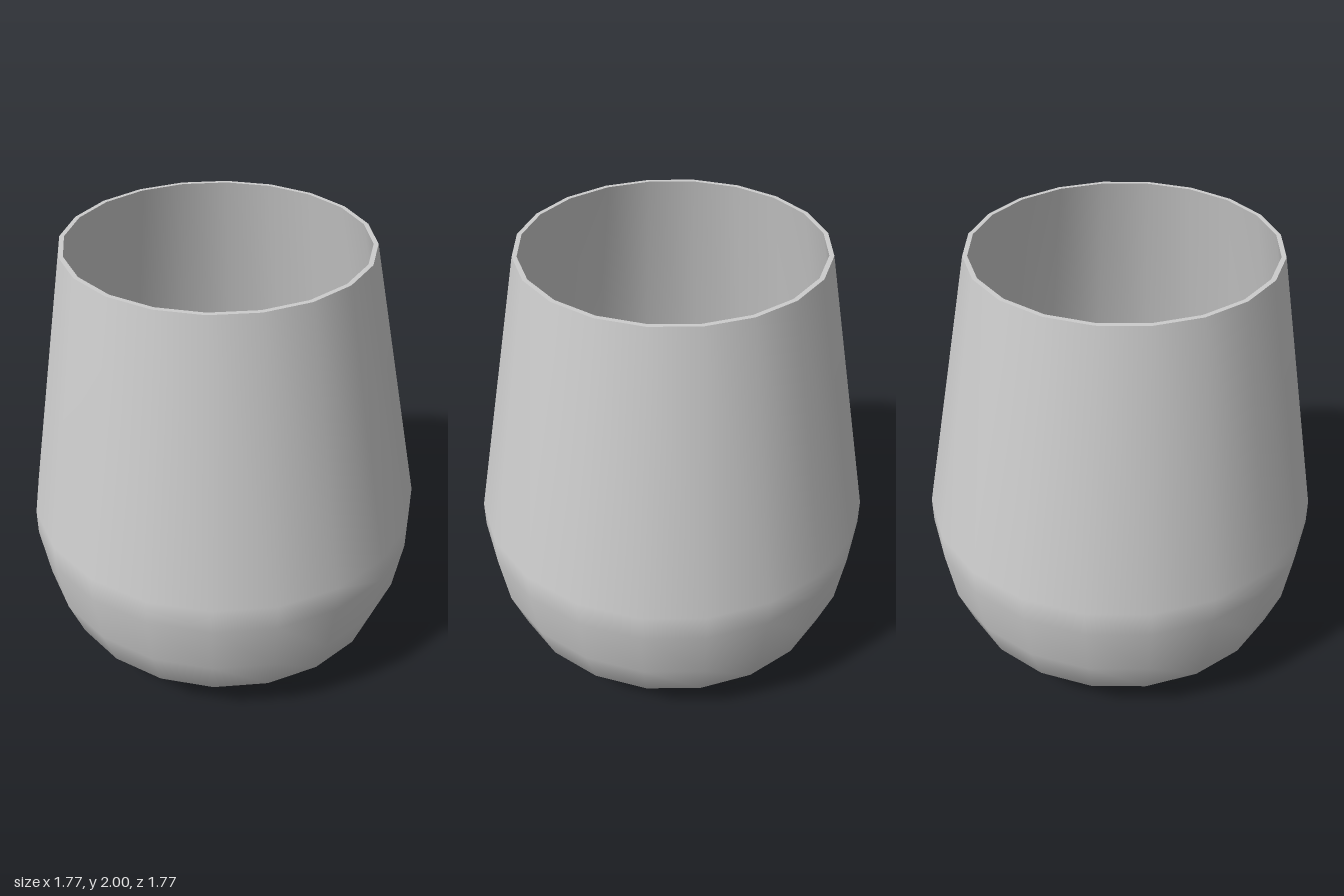
import * as THREE from 'three';

const SIDES = 20;
const SHOULDER = 0.76; // height where the straight taper starts
const RIM_SHIFT = -0.025; // the mouth sits slightly off centre in x

export function createModel() {
  const cup = new THREE.Group();
  cup.name = 'cup';
  const material = new THREE.MeshStandardMaterial({ color: 0xcccccc });

  // Turned part, leaning a little sideways above the shoulder
  function turned(name, profile) {
    const geometry = new THREE.LatheGeometry(profile.map(([r, y]) => new THREE.Vector2(r, y)), SIDES);
    const p = geometry.attributes.position;
    for (let i = 0; i < p.count; i++) {
      const t = Math.max(0, (p.getY(i) - SHOULDER) / (2 - SHOULDER));
      p.setX(i, p.getX(i) + RIM_SHIFT * t);
    }
    const mesh = new THREE.Mesh(geometry, material);
    mesh.name = name;
    cup.add(mesh);
  }

  // Shallow hollow under the foot
  turned('underside', [[0, 0.02], [0.385, 0]]);

  // Rounded belly and tapering wall
  turned('outerWall', [
    [0.385, 0], [0.63, 0.06], [0.775, 0.2], [0.845, 0.39],
    [0.885, 0.64], [0.885, SHOULDER], [0.655, 2],
  ]);

  // Thin flat lip
  turned('rim', [[0.655, 2], [0.635, 2]]);

  // Inside wall, following the outside
  turned('innerWall', [
    [0.635, 2], [0.863, SHOULDER], [0.863, 0.64], [0.822, 0.39], [0.75, 0.2],
  ]);

  // Flat inside floor
  turned('innerFloor', [[0.75, 0.2], [0, 0.2]]);

  return cup;
}
